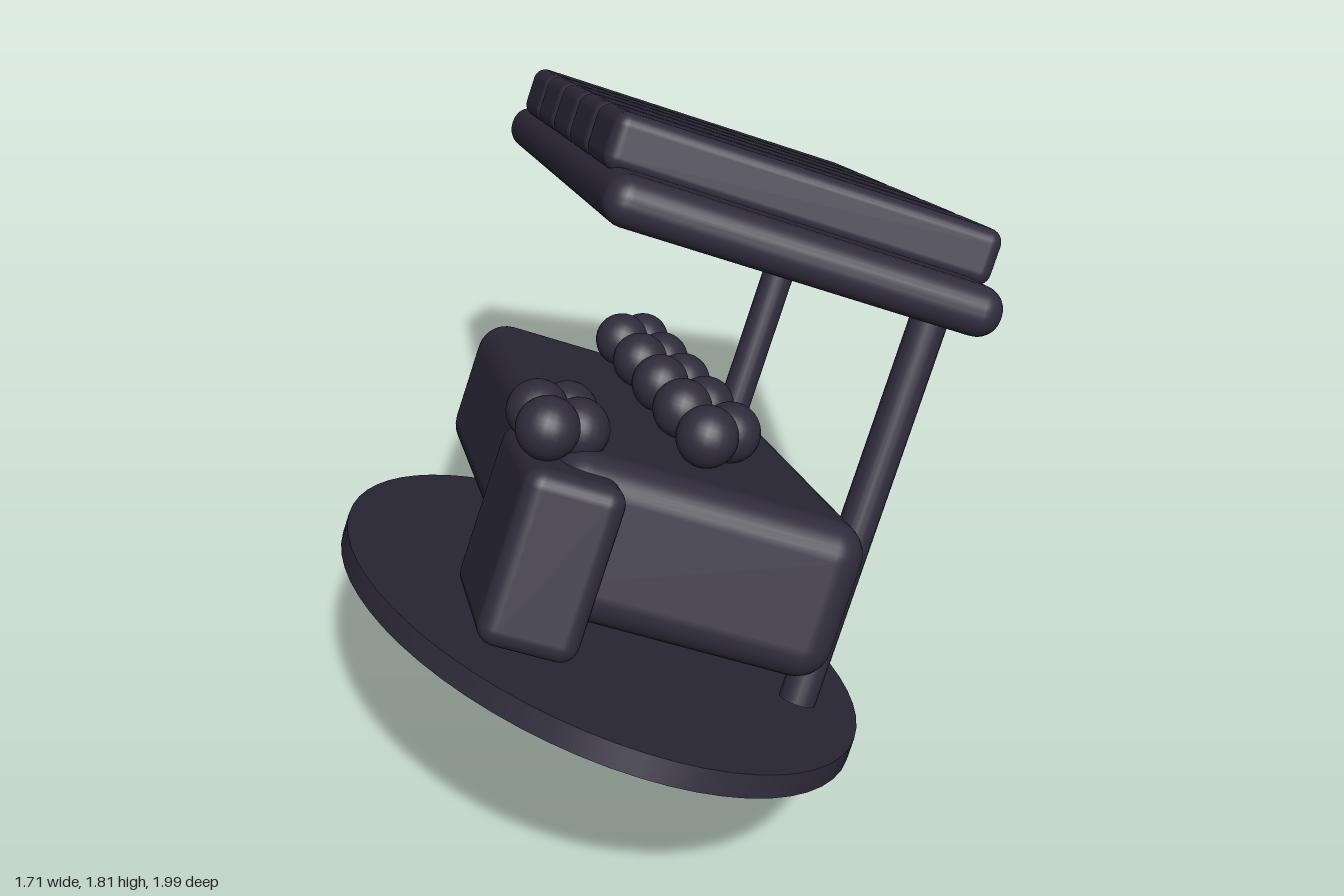
import * as THREE from 'three';
import { RoundedBoxGeometry } from 'three/addons/geometries/RoundedBoxGeometry.js';

export function createModel() {
  const model = new THREE.Group();
  const material = new THREE.MeshStandardMaterial({ color: 0x302c3c });

  // The stall is built level: x runs along the counter, z points to the customer.
  const stall = new THREE.Group();
  stall.name = 'marketStall';
  model.add(stall);

  const add = (name, geometry, x, y, z) => {
    const mesh = new THREE.Mesh(geometry, material);
    mesh.name = name;
    mesh.position.set(x, y, z);
    stall.add(mesh);
    return mesh;
  };
  const box = (name, [w, h, d], radius, x, y, z) =>
    add(name, new RoundedBoxGeometry(w, h, d, 4, radius), x, y, z);

  // Oval ground plate
  const plate = new THREE.CylinderGeometry(1, 1, 0.05, 64);
  plate.scale(1.04, 1, 0.6);
  add('groundPlate', plate, 0, 0.255, 0);

  // Counter and the crate in front of it
  box('counter', [1.53, 0.34, 0.68], 0.075, 0, 0.58, 0);
  box('crate', [0.44, 0.37, 0.21], 0.04, 0.63, 0.53, 0.3);

  // Two rear posts holding the roof
  const post = new THREE.CylinderGeometry(0.04, 0.04, 0.88, 20);
  for (const side of [-1, 1]) add('post', post, side * 0.615, 0.78, -0.335);

  // Roof slab with five raised awning panels
  box('roof', [1.64, 0.105, 0.84], 0.05, 0, 1.247, 0);
  for (let i = 0; i < 5; i++) {
    box('awningPanel', [0.262, 0.12, 0.84], 0.03, (i - 2) * 0.267, 1.346, 0);
  }

  // Staggered fruit on the counter and in the crate
  const fruit = new THREE.SphereGeometry(0.065, 24, 16);
  for (let i = 0; i < 10; i++) {
    add('counterFruit', fruit, -0.58 + i * 0.136, 0.832, i % 2 ? 0.04 : -0.04);
  }
  for (let i = 0; i < 4; i++) {
    add('crateFruit', fruit, 0.487 + i * 0.082, 0.775, i % 2 ? 0.375 : 0.3);
  }

  // The whole stall is turned and tipped back
  stall.rotation.set(-Math.PI / 6, -Math.PI / 4, 0);
  stall.position.set(0, 0.22, 0.381);
  return model;
}
